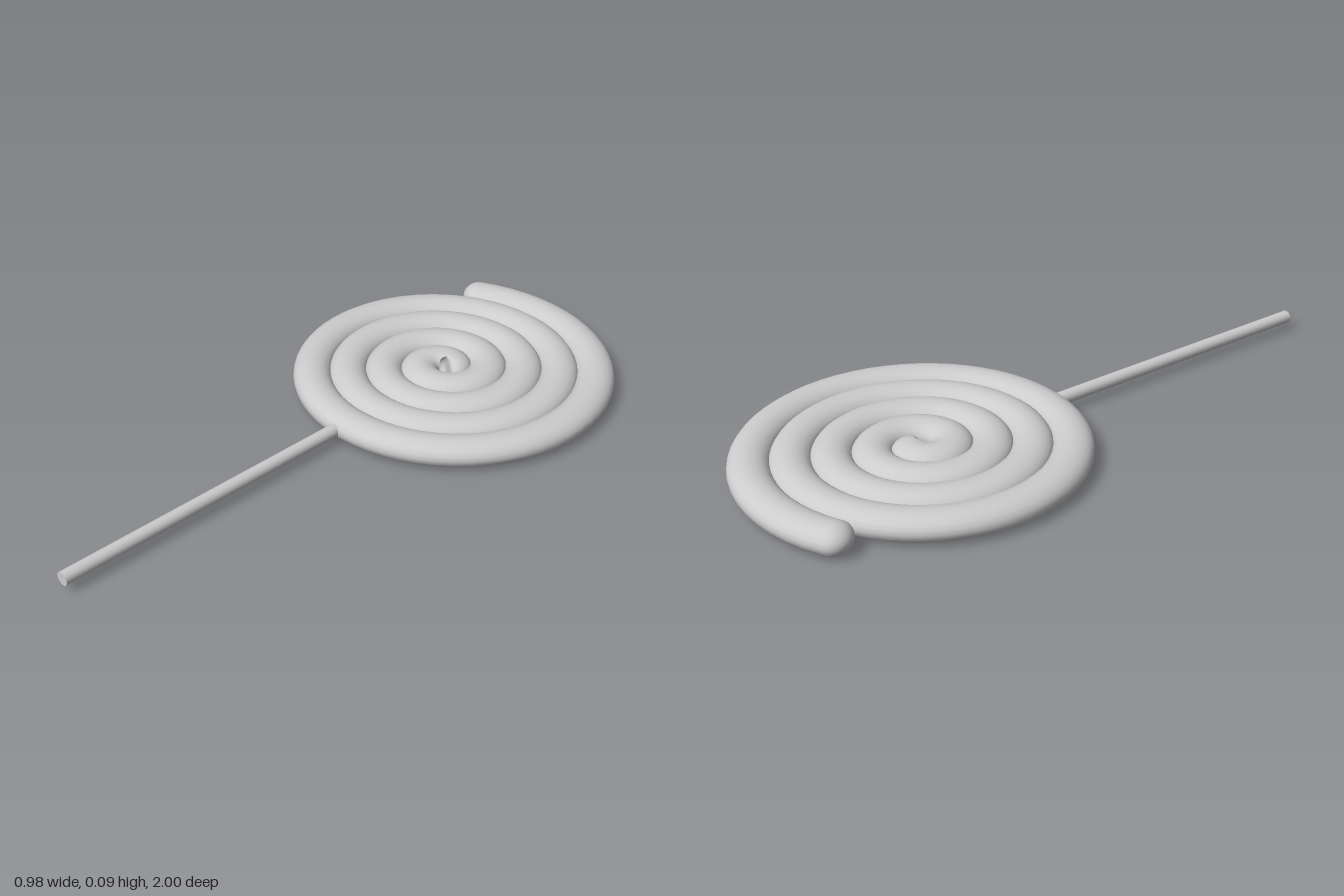
import * as THREE from 'three';

const TURN = Math.PI * 2;
const CENTRE = new THREE.Vector3(-0.032, 0.0425, -0.456);
const HALF_WIDTH = 0.06, HALF_HEIGHT = 0.0425;
const PITCH = 0.112 / TURN; // radius gained per radian

// Sweeps an elliptical section along a flat spiral; each station is [angle, scale]
function spiralGeometry(stations, sides) {
  const positions = [], index = [];
  stations.forEach(([a, s], i) => {
    const r = 0.009 + PITCH * a;
    const len = Math.hypot(r, PITCH);
    const c = Math.cos(a), n = Math.sin(a);
    // Sideways direction, square to the path
    const sx = (r * c + PITCH * n) / len, sz = (-r * n + PITCH * c) / len;
    for (let j = 0; j < sides; j++) {
      const b = (j / sides) * TURN;
      const w = HALF_WIDTH * s * Math.cos(b), h = HALF_HEIGHT * s * Math.sin(b);
      positions.push(r * c + sx * w, h, -r * n + sz * w);
      if (i < stations.length - 1) {
        const k = (j + 1) % sides, p = i * sides, q = p + sides;
        index.push(p + j, q + j, q + k, p + j, q + k, p + k);
      }
    }
  });
  const geometry = new THREE.BufferGeometry();
  geometry.setAttribute('position', new THREE.Float32BufferAttribute(positions, 3));
  geometry.setIndex(index);
  geometry.computeVertexNormals();
  return geometry;
}

export function createModel() {
  const group = new THREE.Group();
  const grey = new THREE.MeshStandardMaterial({ color: 0xcccccc });
  grey.name = 'pale grey';

  // Candy rope: tapered inner tip, four and a bit turns, rounded outer end
  const rad = THREE.MathUtils.degToRad;
  const stations = [];
  const start = rad(18), full = rad(105), dome = 4 * TURN + rad(119), tip = 4 * TURN + rad(125);
  for (let i = 0; i <= 16; i++) {
    const u = i / 16;
    stations.push([start + (full - start) * u * u, Math.max(0.01, Math.sqrt(1 - (1 - u) ** 2))]);
  }
  for (let i = 1; i <= 240; i++) stations.push([full + (dome - full) * (i / 240), 1]);
  for (let i = 1; i <= 8; i++) {
    const t = (i / 8) * Math.PI / 2;
    stations.push([dome + (tip - dome) * Math.sin(t), Math.max(0.01, Math.cos(t))]);
  }
  const candy = new THREE.Mesh(spiralGeometry(stations, 20), grey);
  candy.name = 'spiralCandy';
  candy.position.copy(CENTRE);
  group.add(candy);

  // Stick, pushed a little way into the outer turn
  const stick = new THREE.Mesh(new THREE.CylinderGeometry(0.0205, 0.0205, 1.03, 20), grey);
  stick.name = 'stick';
  stick.rotation.x = Math.PI / 2;
  stick.position.set(-0.029, CENTRE.y, 0.485);
  group.add(stick);

  return group;
}
